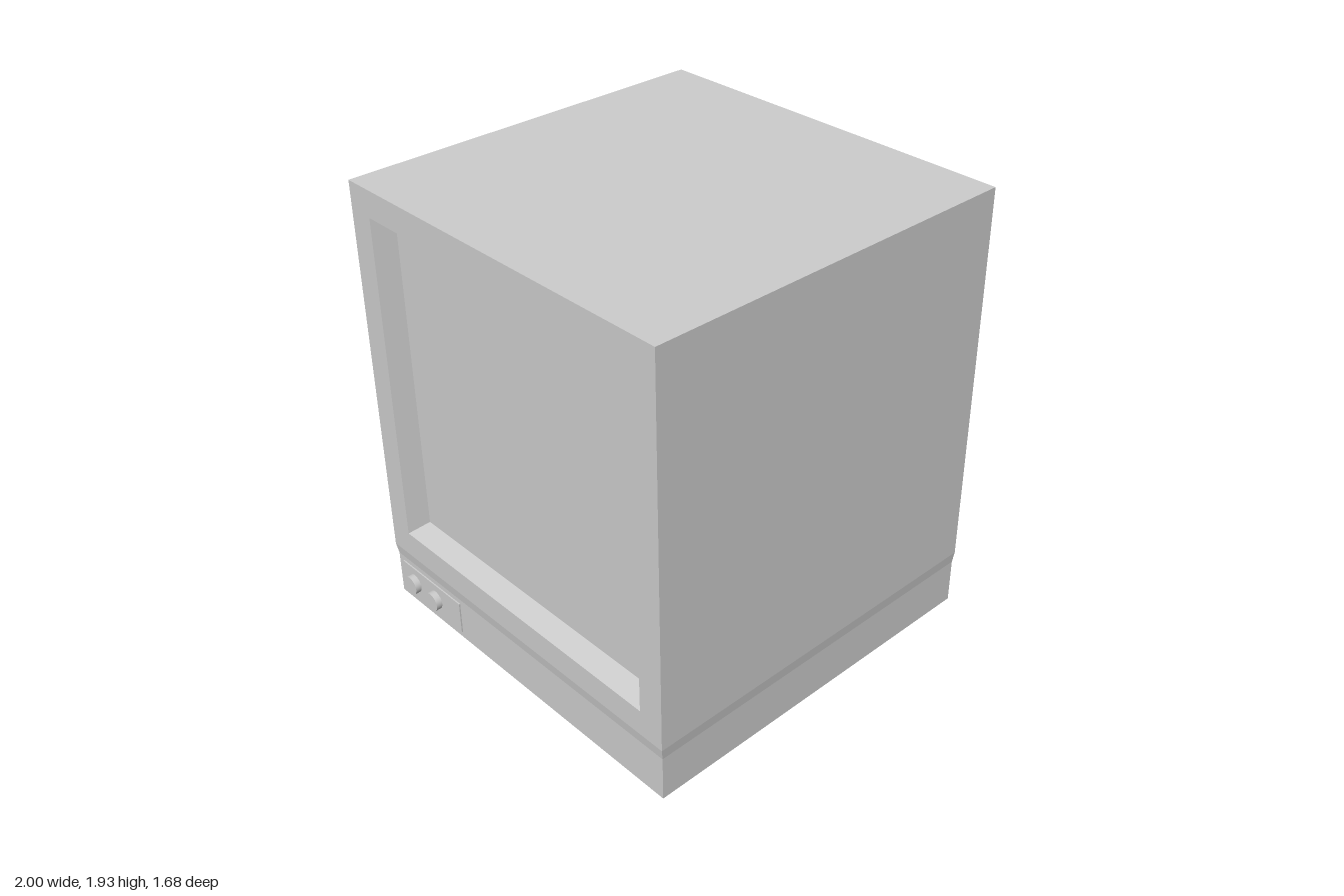
import * as THREE from 'three';

const material = new THREE.MeshStandardMaterial({ color: 0xcccccc });
const flat = new THREE.MeshStandardMaterial({ color: 0xcccccc, flatShading: true });

function add(group, name, geometry, mat = material) {
  const mesh = new THREE.Mesh(geometry, mat);
  mesh.name = name;
  group.add(mesh);
  return mesh;
}

// Closed loft through four-cornered rings; faces look outward.
function loft(rings) {
  const index = [0, 1, 2, 0, 2, 3];
  for (let i = 0; i < rings.length - 1; i++) {
    for (let j = 0; j < 4; j++) {
      const a = i * 4 + j, b = i * 4 + (j + 1) % 4;
      index.push(a, b + 4, b, a, a + 4, b + 4);
    }
  }
  const e = (rings.length - 1) * 4;
  index.push(e, e + 2, e + 1, e, e + 3, e + 2);
  const geometry = new THREE.BufferGeometry();
  geometry.setAttribute('position', new THREE.Float32BufferAttribute(rings.flat(2), 3));
  geometry.setIndex(index);
  const split = geometry.toNonIndexed();
  split.computeVertexNormals();
  return split;
}

const corners = [[-1, -1], [1, -1], [1, 1], [-1, 1]];

// Square ring facing along x, centred on the casing
const casingRing = (x, half, cy = 1.09) => corners.map(([u, v]) => [x, cy + v * half, u * half]);

// Rectangular ring facing along y
const baseRing = (y, x0, x1, halfZ) => corners.map(([u, v]) => [u < 0 ? x0 : x1, y, v * halfZ]);

export function createModel() {
  const model = new THREE.Group();
  model.name = 'monitor';

  // Casing: recessed screen, bezel, box and tapered back in one skin
  add(model, 'casing', loft([
    casingRing(-0.885, 0.695),
    casingRing(-0.975, 0.725),
    casingRing(-0.975, 0.84),
    casingRing(0.70, 0.84),
    casingRing(1.0, 0.56),
  ]), flat);

  // Base with a slight flare up to the casing
  add(model, 'base', loft([
    baseRing(0, -0.967, 0.695, 0.834),
    baseRing(0.2, -0.967, 0.695, 0.834),
    baseRing(0.25, -0.975, 0.70, 0.84),
  ]), flat);

  // Control plate and its two knobs
  const controls = new THREE.Group();
  controls.name = 'controls';
  model.add(controls);
  add(controls, 'controlPlate', new THREE.BoxGeometry(0.02, 0.15, 0.4)).position.set(-0.963, 0.103, -0.6);
  for (const z of [-0.72, -0.57]) {
    const knob = add(controls, 'knob', new THREE.CylinderGeometry(0.042, 0.042, 0.04, 32));
    knob.rotation.z = Math.PI / 2;
    knob.position.set(-0.98, 0.103, z);
  }

  return model;
}
